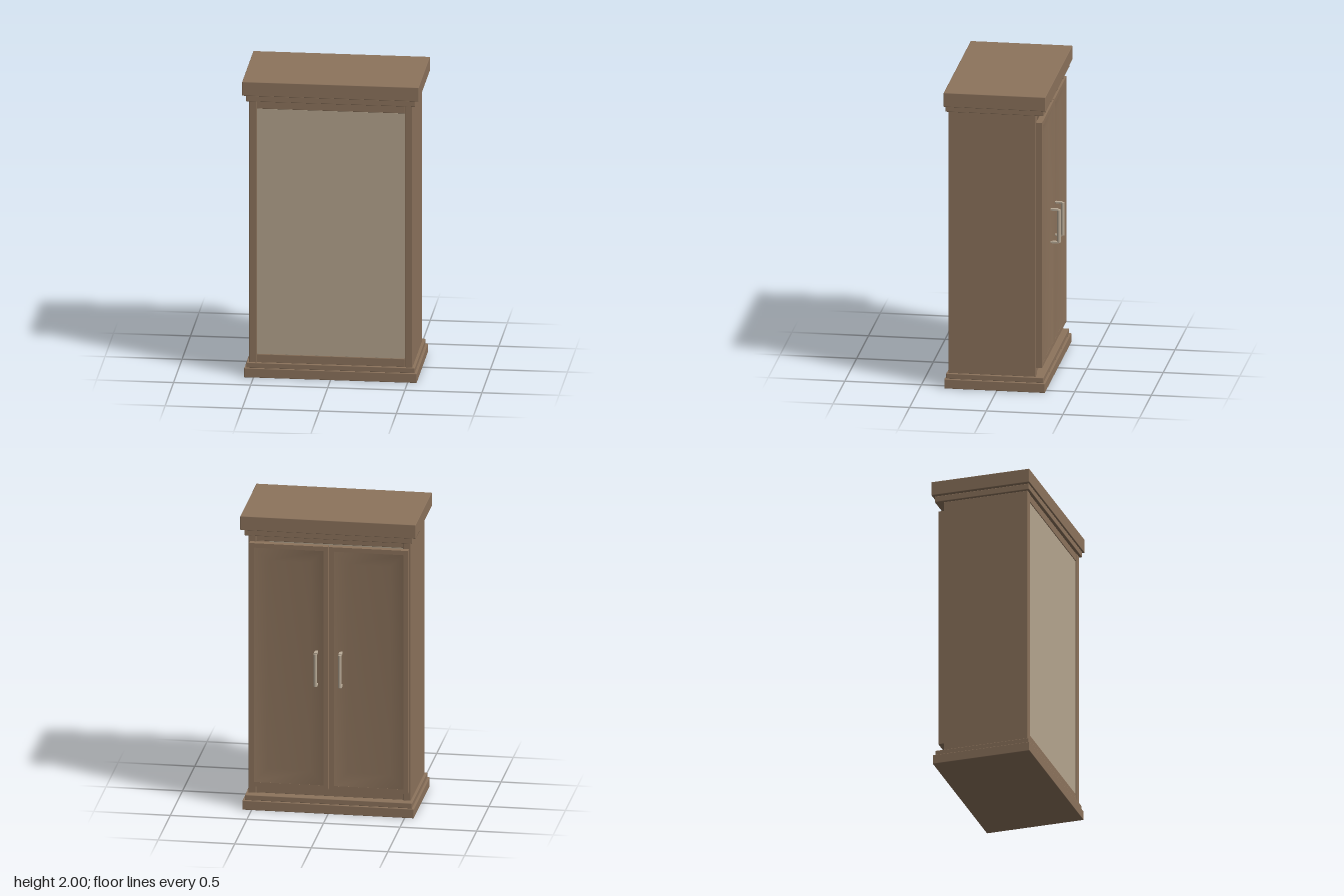
import * as THREE from 'three';
import { RoundedBoxGeometry } from 'three/addons/geometries/RoundedBoxGeometry.js';

const material = (name, color) => {
  const m = new THREE.MeshStandardMaterial({ color });
  m.name = name;
  return m;
};

// Slightly eased box given by its minimum and maximum corners
function board(name, mat, [x0, y0, z0], [x1, y1, z1], radius = 0.004) {
  const geo = new RoundedBoxGeometry(x1 - x0, y1 - y0, z1 - z0, 1, radius);
  const mesh = new THREE.Mesh(geo, mat);
  mesh.position.set((x0 + x1) / 2, (y0 + y1) / 2, (z0 + z1) / 2);
  mesh.name = name;
  return mesh;
}

// Rectangle outline of half sizes w, h, counter-clockwise
const rect = (w, h) => [[-w, -h], [w, -h], [w, h], [-w, h]];

// Sunken door field: nested rectangles with shared, smooth normals
function sunkenPanel(w, h, steps) {
  const pos = [], index = [];
  steps.forEach(([inset, z]) => rect(w - inset, h - inset).forEach(([x, y]) => pos.push(x, y, z)));
  for (let s = 0; s < steps.length - 1; s++) {
    for (let i = 0; i < 4; i++) {
      const a = s * 4 + i, b = s * 4 + (i + 1) % 4;
      index.push(a, b, b + 4, a, b + 4, a + 4);
    }
  }
  const c = (steps.length - 1) * 4;
  index.push(c, c + 1, c + 2, c, c + 2, c + 3);
  const geo = new THREE.BufferGeometry();
  geo.setAttribute('position', new THREE.Float32BufferAttribute(pos, 3));
  geo.setIndex(index);
  geo.computeVertexNormals();
  return geo;
}

// Door facing +z with its back at z = 0
function makeDoor(wood, w, h, depth) {
  const door = new THREE.Group();
  const rim = 0.03;
  const toPath = (pts, Type) => new Type(pts.map(([x, y]) => new THREE.Vector2(x, y)));
  const shape = toPath(rect(w, h), THREE.Shape);
  shape.holes.push(toPath(rect(w - rim, h - rim).reverse(), THREE.Path));
  const frame = new THREE.Mesh(new THREE.ExtrudeGeometry(shape, { depth, bevelEnabled: false }), wood);
  frame.name = 'doorFrame';
  const panel = new THREE.Mesh(sunkenPanel(w, h, [[rim, depth - 0.001], [0.12, depth - 0.02]]), wood);
  panel.name = 'doorPanel';
  const back = new THREE.Mesh(new THREE.BoxGeometry(2 * w - 0.02, 2 * h - 0.02, 0.01), wood);
  back.position.z = 0.006;
  back.name = 'doorBack';
  door.add(frame, panel, back);
  return door;
}

// Pull handle facing +z, mounted at z = 0
function makeHandle(metal) {
  const handle = new THREE.Group();
  const grip = new THREE.Mesh(new THREE.CylinderGeometry(0.0125, 0.0125, 0.22, 12), metal);
  grip.position.z = 0.0425;
  grip.name = 'handleGrip';
  handle.add(grip);
  for (const s of [-1, 1]) {
    const post = board('handlePost', metal, [-0.011, -0.007, -0.002], [0.011, 0.007, 0.04], 0.002);
    post.position.y = s * 0.11;
    handle.add(post);
  }
  return handle;
}

export function createModel() {
  const wood = material('brown wood', 0x8c735c);
  const pale = material('pale backing', 0xb5a58e);
  const metal = material('handle metal', 0xb9ab97);
  const model = new THREE.Group();
  model.name = 'wardrobe';

  // Stepped plinth and cornice: half width, bottom, top, rear z, front z
  const layers = [
    ['plinth', 0.56, 0, 0.063, -0.315, 0.342],
    ['plinthMoulding', 0.546, 0.062, 0.098, -0.302, 0.332],
    ['corniceMoulding', 0.549, 1.865, 1.906, -0.305, 0.335],
    ['corniceTop', 0.573, 1.905, 2, -0.32, 0.345],
  ];
  for (const [name, w, y0, y1, z0, z1] of layers) {
    model.add(board(name, wood, [-w, y0, z0], [w, y1, z1]));
  }

  // Side walls
  model.add(board('sideWall', wood, [0.48, 0.096, -0.25], [0.53, 1.867, 0.32]));
  model.add(board('sideWall', wood, [-0.53, 0.096, -0.25], [-0.48, 1.867, 0.32]));

  // Cabinet floor and ceiling between the side walls
  model.add(board('floorBoard', wood, [-0.482, 0.096, -0.24], [0.482, 0.153, 0.316]));
  model.add(board('ceilingBoard', wood, [-0.482, 1.812, -0.24], [0.482, 1.867, 0.316]));

  // Pale backing sheet
  model.add(board('backingPanel', pale, [-0.481, 0.152, 0.29], [0.481, 1.813, 0.312], 0.002));

  // Pair of doors with pulls beside the centre gap
  for (const s of [-1, 1]) {
    const door = makeDoor(wood, 0.257, 0.8275, 0.04);
    door.name = s > 0 ? 'leftDoor' : 'rightDoor';
    door.rotation.y = Math.PI;
    door.position.set(s * 0.261, 0.9825, -0.25);
    const handle = makeHandle(metal);
    handle.name = s > 0 ? 'leftHandle' : 'rightHandle';
    handle.rotation.y = Math.PI;
    handle.position.set(s * 0.08, 0.982, -0.29);
    // Mounting stubs reach the sunken part of the door
    for (const t of [-1, 1]) {
      const stub = board('handleStub', metal, [-0.009, -0.006, -0.02], [0.009, 0.006, 0.002], 0.002);
      stub.position.y = t * 0.11;
      handle.add(stub);
    }
    model.add(door, handle);
  }
  return model;
}
